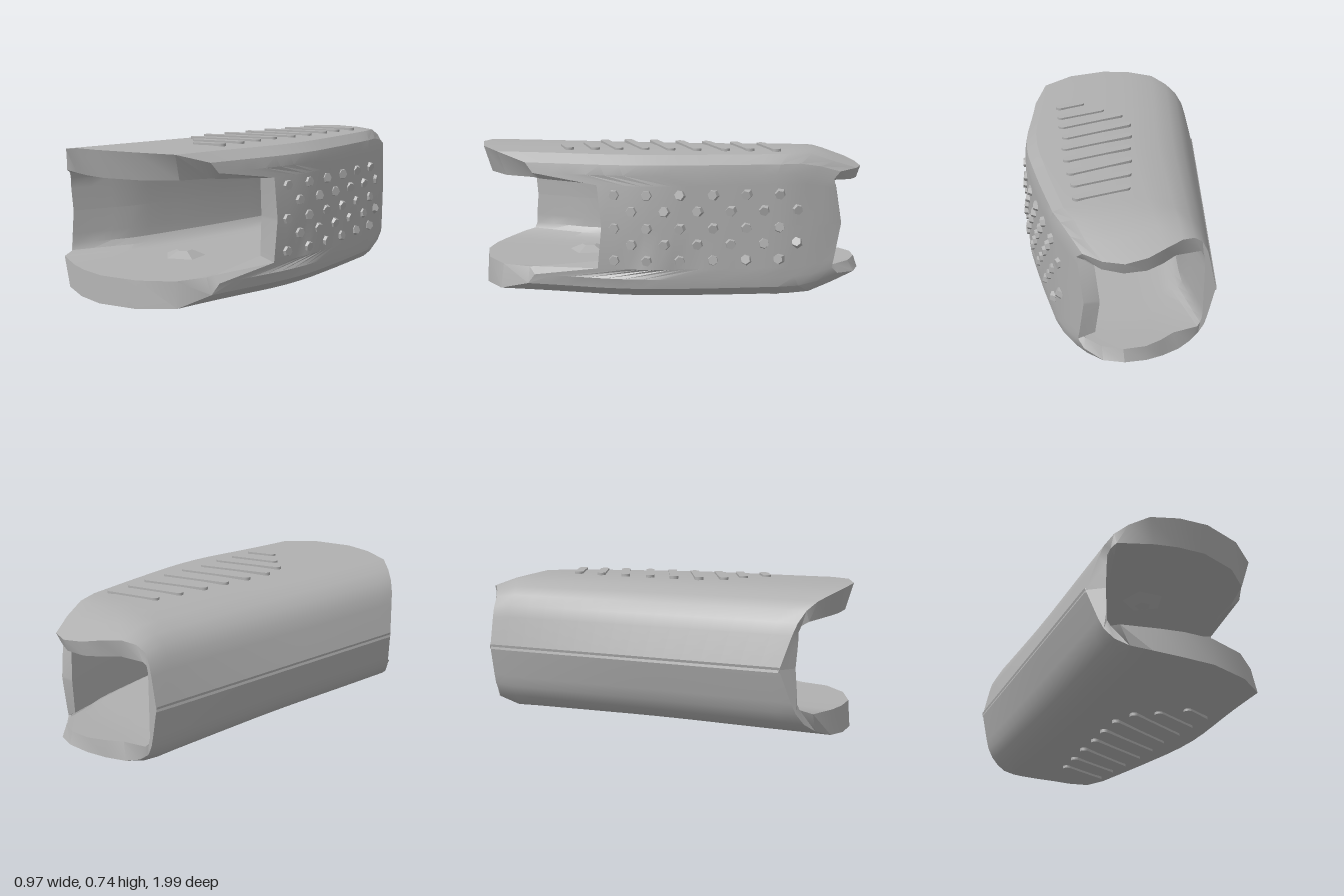
import * as THREE from 'three';
import { toCreasedNormals } from 'three/addons/utils/BufferGeometryUtils.js';

const MID = 0.3825; // height of the horizontal mirror plane

// Right edge of the body as [z, x] pairs
const EDGE = [[-1, 0.1], [-0.86, 0.2], [-0.75, 0.25], [-0.65, 0.3], [-0.35, 0.38],
  [-0.05, 0.45], [0.1, 0.47], [0.25, 0.47], [0.45, 0.455], [0.62, 0.445], [1, 0.44]];

function rightX(z) {
  for (let i = 1; i < EDGE.length; i++) {
    const [z0, x0] = EDGE[i - 1], [z1, x1] = EDGE[i];
    if (z <= z1) return x0 + (x1 - x0) * (z - z0) / (z1 - z0);
  }
  return 0.44;
}
const leftX = (z) => -0.467 - 0.022 * z;

// Upper half of the section, left to right: fraction of width, height, back z, front z
const OUTER = [
  [0, 0.37, -0.8, 0.77], [0.05, 0.54, -0.8, 0.82], [0.07, 0.595, -0.8, 0.84],
  [0.11, 0.65, -0.8, 0.87], [0.17, 0.69, -0.82, 0.91], [0.26, 0.722, -0.86, 0.965],
  [0.41, 0.738, -0.92, 0.99], [0.57, 0.743, -0.97, 0.99], [0.78, 0.743, -1, 0.92],
  [0.935, 0.735, -0.98, 0.8], [0.99, 0.69, -0.9, 0.64], [1, 0.64, -0.87, 0.6],
  [1, 0.59, -0.88, 0.27], [1, 0.39, -0.91, 0.25]];
const INNER = [
  [0.17, 0.38, -0.8, 0.83], [0.17, 0.5, -0.8, 0.84], [0.175, 0.55, -0.8, 0.84],
  [0.2, 0.58, -0.8, 0.85], [0.24, 0.598, -0.81, 0.88], [0.3, 0.606, -0.85, 0.93],
  [0.42, 0.608, -0.91, 0.95], [0.57, 0.61, -0.96, 0.95], [0.77, 0.612, -0.98, 0.88],
  [0.91, 0.613, -0.95, 0.76], [0.95, 0.612, -0.88, 0.61], [0.96, 0.607, -0.87, 0.57],
  [0.885, 0.575, -0.88, 0.26], [0.87, 0.39, -0.9, 0.24]];

// Mirrors the half section downwards; lip pushes the lower plate's front edge forward
const fullRing = (half, lip) => [...half, ...half.slice().reverse().map(
  ([f, y, b, e]) => [f, 2 * MID - y, b, y > 0.59 && e > 0.5 ? e + lip : e])];

function sectionPoint([f, y, back, front], t, inside) {
  const z = back + (front - back) * t;
  const flare = inside && f < 0.25 ? 1 - 0.5 * Math.max(0, (Math.abs(2 * t - 1) - 0.6) / 0.4) : 1;
  const l = leftX(z);
  const squeeze = 1 - (inside ? 0.45 : 1.05) * Math.max(0, -0.75 - z); // the tail tapers
  return [l + f * flare * (rightX(z) - l), MID + (y - MID) * squeeze, z];
}

// Outer skin back-to-front, then the inner skin returning, closed at both rims
function shellGeometry() {
  const M = 16, rows = [], index = [];
  const outer = fullRing(OUTER, 0), inner = fullRing(INNER, 0.03), n = outer.length;
  for (let j = 0; j <= M; j++) rows.push(outer.map((p) => sectionPoint(p, j / M, false)));
  for (let j = M; j >= 0; j--) rows.push(inner.map((p) => sectionPoint(p, j / M, true)));
  for (let j = 0; j < rows.length; j++) {
    for (let i = 0; i < n; i++) {
      const k = (i + 1) % n, up = (j + 1) % rows.length;
      const a = j * n + i, b = up * n + i, c = up * n + k, d = j * n + k;
      index.push(a, b, c, a, c, d);
    }
  }
  const g = new THREE.BufferGeometry();
  g.setAttribute('position', new THREE.Float32BufferAttribute(rows.flat(2), 3));
  g.setIndex(index);
  return toCreasedNormals(g, 0.5);
}

// Rounded bar lying flat
function barGeometry(length, width, height) {
  const r = width / 2, h = length / 2 - r;
  const s = new THREE.Shape();
  s.absarc(h, 0, r, -Math.PI / 2, Math.PI / 2);
  s.absarc(-h, 0, r, Math.PI / 2, Math.PI * 1.5);
  s.closePath();
  const g = new THREE.ExtrudeGeometry(s, { depth: height, bevelEnabled: false, curveSegments: 6 });
  return g.rotateX(-Math.PI / 2);
}

export function createModel() {
  const group = new THREE.Group();
  const grey = new THREE.MeshStandardMaterial({ color: 0xb0b0b0 });
  grey.name = 'grey';
  const add = (name, geometry, parent = group) => {
    const mesh = new THREE.Mesh(geometry, grey);
    mesh.name = name;
    parent.add(mesh);
    return mesh;
  };

  add('shell', shellGeometry());

  // Slanted grip bars on the top and bottom, as end points x, z
  const bars = [[-0.06, -0.48, 0.21, -0.59], [-0.07, -0.34, 0.22, -0.46], [-0.08, -0.19, 0.24, -0.34],
    [-0.08, -0.05, 0.26, -0.2], [-0.09, 0.09, 0.27, -0.07], [-0.09, 0.23, 0.27, 0.06],
    [-0.05, 0.35, 0.29, 0.19], [0.05, 0.42, 0.3, 0.31], [0.16, 0.51, 0.31, 0.44]];
  const gripBars = new THREE.Group();
  gripBars.name = 'gripBars';
  group.add(gripBars);
  for (const [x0, z0, x1, z1] of bars) {
    const g = barGeometry(Math.hypot(x1 - x0, z1 - z0), 0.045, 0.025);
    for (const y of [0.728, 0.01]) {
      const bar = add(y > MID ? 'topGripBar' : 'bottomGripBar', g, gripBars);
      bar.position.set((x0 + x1) / 2, y, (z0 + z1) / 2);
      bar.rotation.y = Math.atan2(z0 - z1, x1 - x0);
    }
  }

  // Staggered studs on the right wall
  const studs = new THREE.Group();
  studs.name = 'sideStuds';
  group.add(studs);
  const studGeometry = new THREE.CylinderGeometry(0.024, 0.03, 0.03, 6).toNonIndexed();
  studGeometry.rotateZ(-Math.PI / 2).computeVertexNormals();
  [0.545, 0.465, 0.38, 0.3, 0.22].forEach((y, row) => {
    for (let i = 0; i < 6; i++) {
      const z = (row % 2 ? 0.1 : 0.185) - 0.159 * i;
      const stud = add('stud', studGeometry, studs);
      stud.position.set(rightX(z), y, z);
      stud.rotation.y = Math.atan2(rightX(z + 0.03) - rightX(z - 0.03), 0.06);
      stud.rotation.x = row + i;
    }
  });

  // Small faceted bosses on the inside of the top and bottom plates
  const bossGeometry = new THREE.CylinderGeometry(0.04, 0.11, 0.03, 5).toNonIndexed();
  bossGeometry.computeVertexNormals();
  for (const side of [1, -1]) {
    const boss = add(side > 0 ? 'upperBoss' : 'lowerBoss', bossGeometry);
    boss.position.set(-0.02, MID + side * 0.213, 0.43);
    boss.rotation.x = side > 0 ? Math.PI : 0;
  }
  return group;
}
